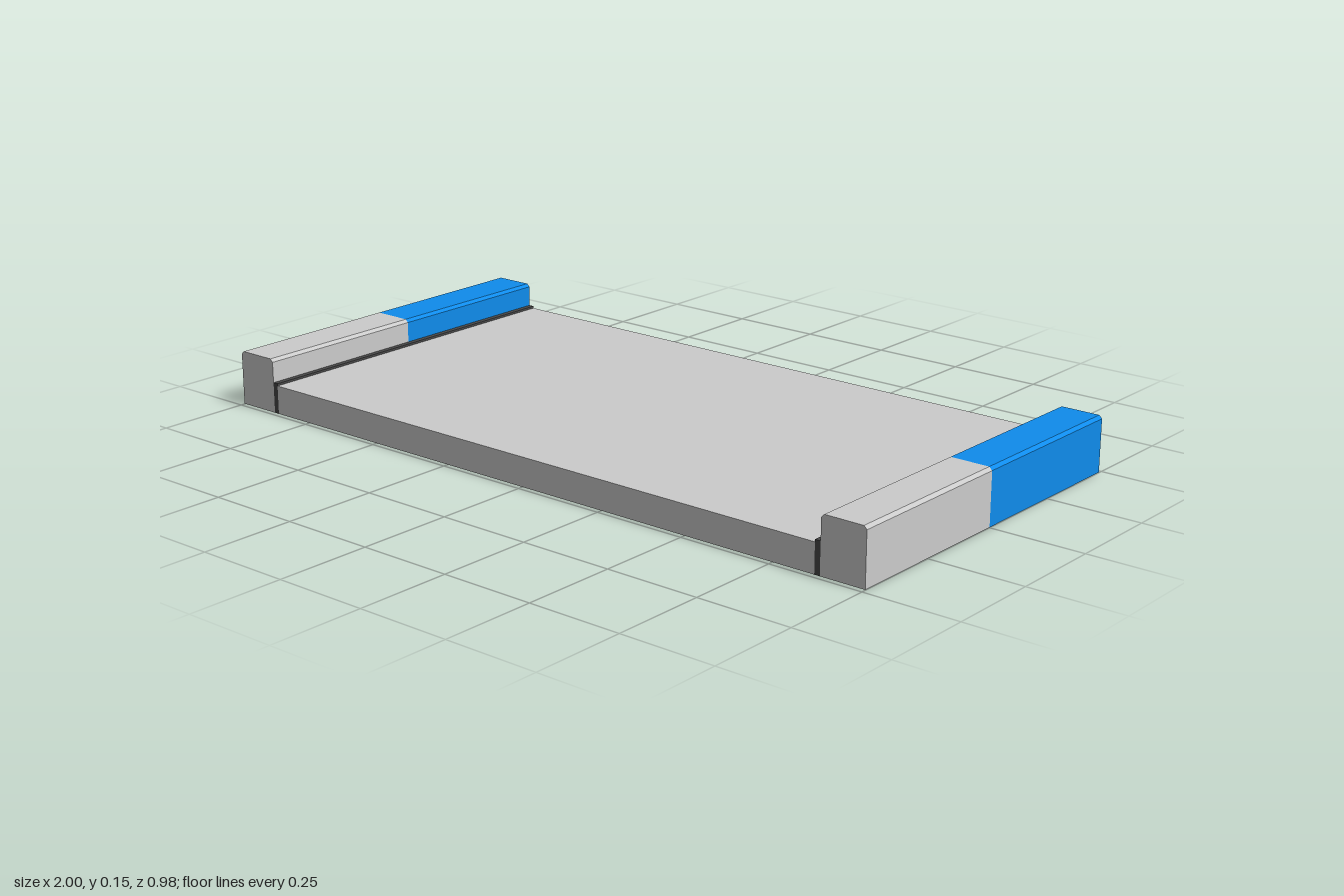
import * as THREE from 'three';

const HALF_DEPTH = 0.488;
const LIFT = 0.001; // coloured parts sit just above the grey underside

const material = (color) => new THREE.MeshStandardMaterial({ color, flatShading: true });

export function createModel() {
  const group = new THREE.Group();
  const grey = material(0xcccccc);
  const blue = material(0x0f8cec);
  const dark = material(0x484848);

  const add = (name, geometry, mat, x = 0, y = 0, z = 0) => {
    const mesh = new THREE.Mesh(geometry, mat);
    mesh.name = name;
    mesh.position.set(x, y, z);
    group.add(mesh);
    return mesh;
  };
  const box = (name, w, y0, y1, mat, x) =>
    add(name, new THREE.BoxGeometry(w, y1 - y0, HALF_DEPTH * 2), mat, x, (y0 + y1) / 2);

  // Flat deck and the grey underside covering the full footprint
  box('deck', 1.73, LIFT, 0.077, grey, 0);
  const underside = add('underside', new THREE.PlaneGeometry(2, HALF_DEPTH * 2), grey);
  underside.rotation.x = Math.PI / 2;

  // Rail cross-section with small chamfers on the top edges
  const w = 0.06, h = 0.146, c = 0.008;
  const profile = new THREE.Shape([
    [-w, LIFT], [w, LIFT], [w, h - c], [w - c, h], [-w + c, h], [-w, h - c],
  ].map(([x, y]) => new THREE.Vector2(x, y)));
  const railHalf = new THREE.ExtrudeGeometry(profile, { depth: HALF_DEPTH, bevelEnabled: false });

  // Each side: dark seam strip, grey front half and blue back half of the rail
  for (const [side, s] of [['left', 1], ['right', -1]]) {
    box(`${side}SeamStrip`, 0.015, LIFT, 0.083, dark, s * 0.8725);
    add(`${side}RailFront`, railHalf, grey, s * 0.94);
    add(`${side}RailBack`, railHalf, blue, s * 0.94, 0, -HALF_DEPTH);
  }
  return group;
}
